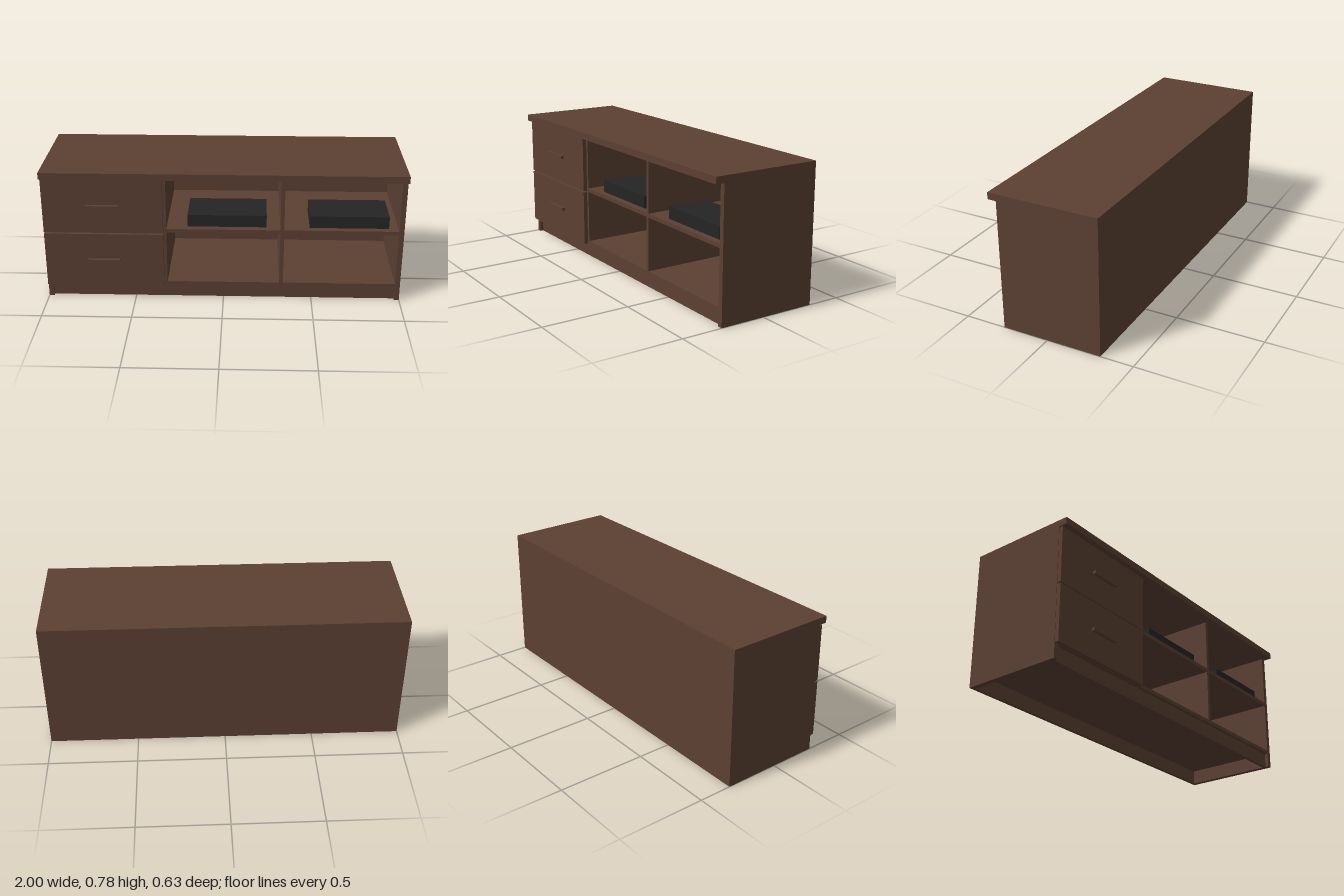
import * as THREE from 'three';

export function createModel() {
  const group = new THREE.Group();
  group.name = 'mediaCabinet';
  const wood = new THREE.MeshStandardMaterial({ color: 0x5c4033 });
  wood.name = 'darkWood';
  const black = new THREE.MeshStandardMaterial({ color: 0x252525 });
  black.name = 'blackPlastic';

  // Box given by its extents along each axis
  function box(name, [x0, x1], [y0, y1], [z0, z1], material = wood) {
    const mesh = new THREE.Mesh(new THREE.BoxGeometry(x1 - x0, y1 - y0, z1 - z0), material);
    mesh.position.set((x0 + x1) / 2, (y0 + y1) / 2, (z0 + z1) / 2);
    mesh.name = name;
    group.add(mesh);
  }

  const back = -0.313, innerBack = -0.295, front = 0.265;
  const inner = [-0.972, 0.972];

  // Carcass
  box('top', [-1, 1], [0.738, 0.776], [back, 0.314]);
  box('rightSide', [-1, -0.972], [0, 0.738], [back, front]);
  box('leftSide', [0.972, 1], [0, 0.738], [back, front]);
  box('backPanel', inner, [0, 0.738], [back, innerBack]);
  box('bottom', inner, [0.083, 0.103], [innerBack, front]);
  box('plinth', inner, [0, 0.083], [0.225, 0.245]);

  // Dividers and the middle shelf of each bay
  const dividers = [-0.338, 0.317], thick = 0.021;
  for (const x of dividers) box('divider', [x, x + thick], [0.103, 0.738], [innerBack, front]);
  const bays = [[-0.972, -0.338], [-0.317, 0.317], [0.338, 0.972]];
  for (const bay of bays) box('shelf', bay, [0.408, 0.43], [innerBack, front]);

  // Drawer fronts with bar handles
  for (const y of [0.084, 0.412]) {
    box('drawerFront', [-0.998, -0.334], [y, y + 0.32], [front, 0.288]);
    box('drawerHandle', [-0.757, -0.578], [y + 0.151, y + 0.169], [0.288, 0.306]);
  }

  // Media players on the shelves
  for (const x of [-0.2, 0.48]) {
    box('mediaPlayer', [x, x + 0.44], [0.43, 0.5], [-0.01, 0.227], black);
  }
  return group;
}
